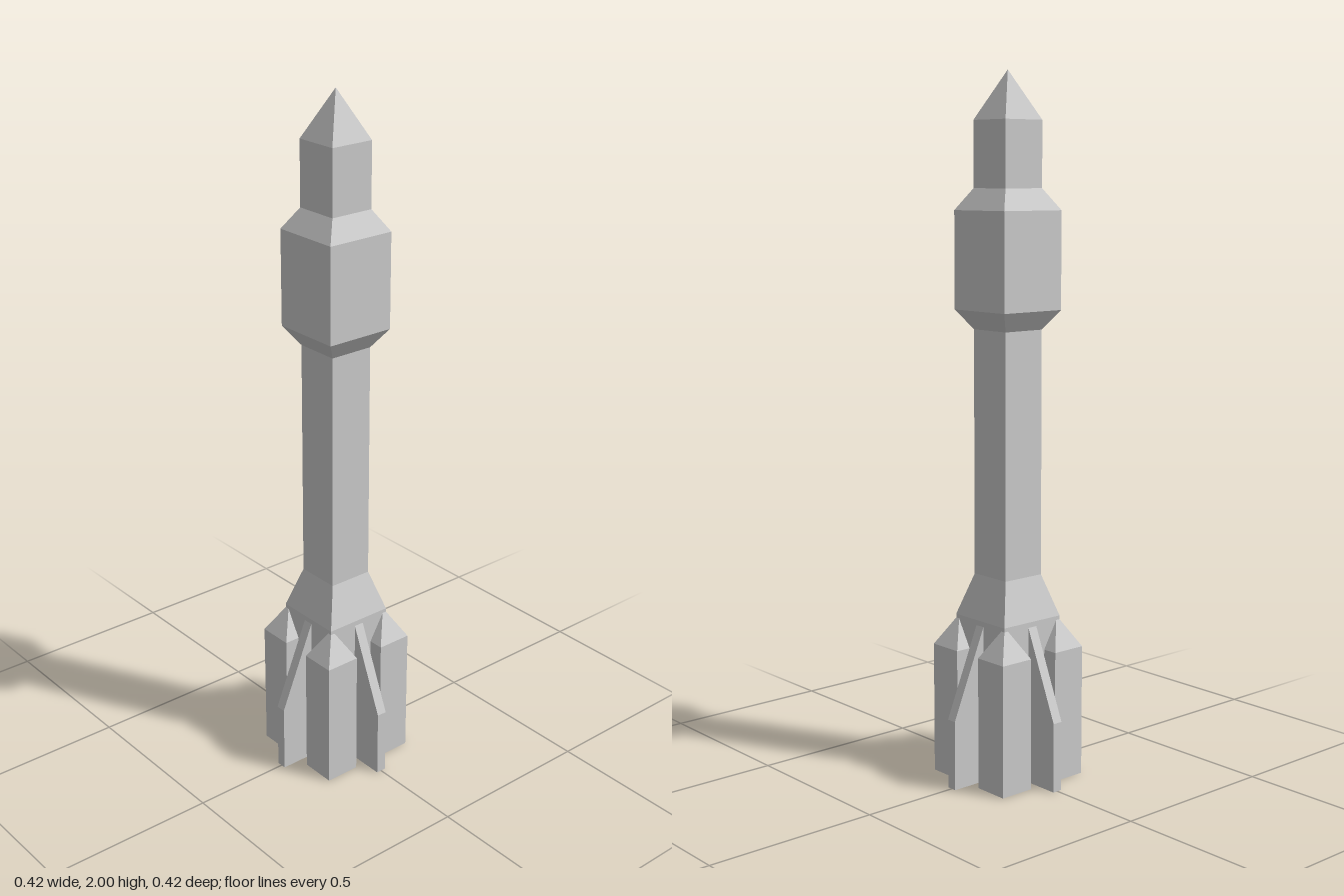
import * as THREE from 'three';

const material = new THREE.MeshStandardMaterial({ color: 0xcccccc, flatShading: true });

// Square tower from [half width, height] pairs, sides facing the axes
function squareTower(name, profile) {
  const points = profile.map(([w, y]) => new THREE.Vector2(w * Math.SQRT2, y));
  const geometry = new THREE.LatheGeometry(points, 4).rotateY(Math.PI / 4).toNonIndexed();
  geometry.computeVertexNormals();
  const mesh = new THREE.Mesh(geometry, material);
  mesh.name = name;
  return mesh;
}

export function createModel() {
  const rocket = new THREE.Group();
  rocket.name = 'rocket';

  // Core: engine section, slim stage, wide payload section, pointed nose
  rocket.add(squareTower('coreBody', [
    [0, 0.02], [0.105, 0.02], [0.105, 0.47], [0.067, 0.59],
    [0.067, 1.29], [0.105, 1.345], [0.105, 1.62], [0.067, 1.68],
    [0.067, 1.865], [0, 2],
  ]));

  // Four corner boosters with pyramid tips
  for (const x of [-1, 1]) {
    for (const z of [-1, 1]) {
      const booster = squareTower('booster', [[0, 0], [0.0525, 0], [0.0525, 0.38], [0, 0.47]]);
      booster.position.set(x * 0.0985, 0, z * 0.0985);
      rocket.add(booster);
    }
  }

  // Four swept fins, one on each side
  const outline = new THREE.Shape([
    [0.09, 0], [0.211, 0], [0.211, 0.2], [0.105, 0.455], [0.09, 0.455],
  ].map(([x, y]) => new THREE.Vector2(x, y)));
  const finGeometry = new THREE.ExtrudeGeometry(outline, { depth: 0.03, bevelEnabled: false });
  finGeometry.translate(0, 0, -0.015);
  for (let i = 0; i < 4; i++) {
    const fin = new THREE.Mesh(finGeometry, material);
    fin.name = 'fin';
    fin.rotation.y = i * Math.PI / 2;
    rocket.add(fin);
  }

  return rocket;
}
